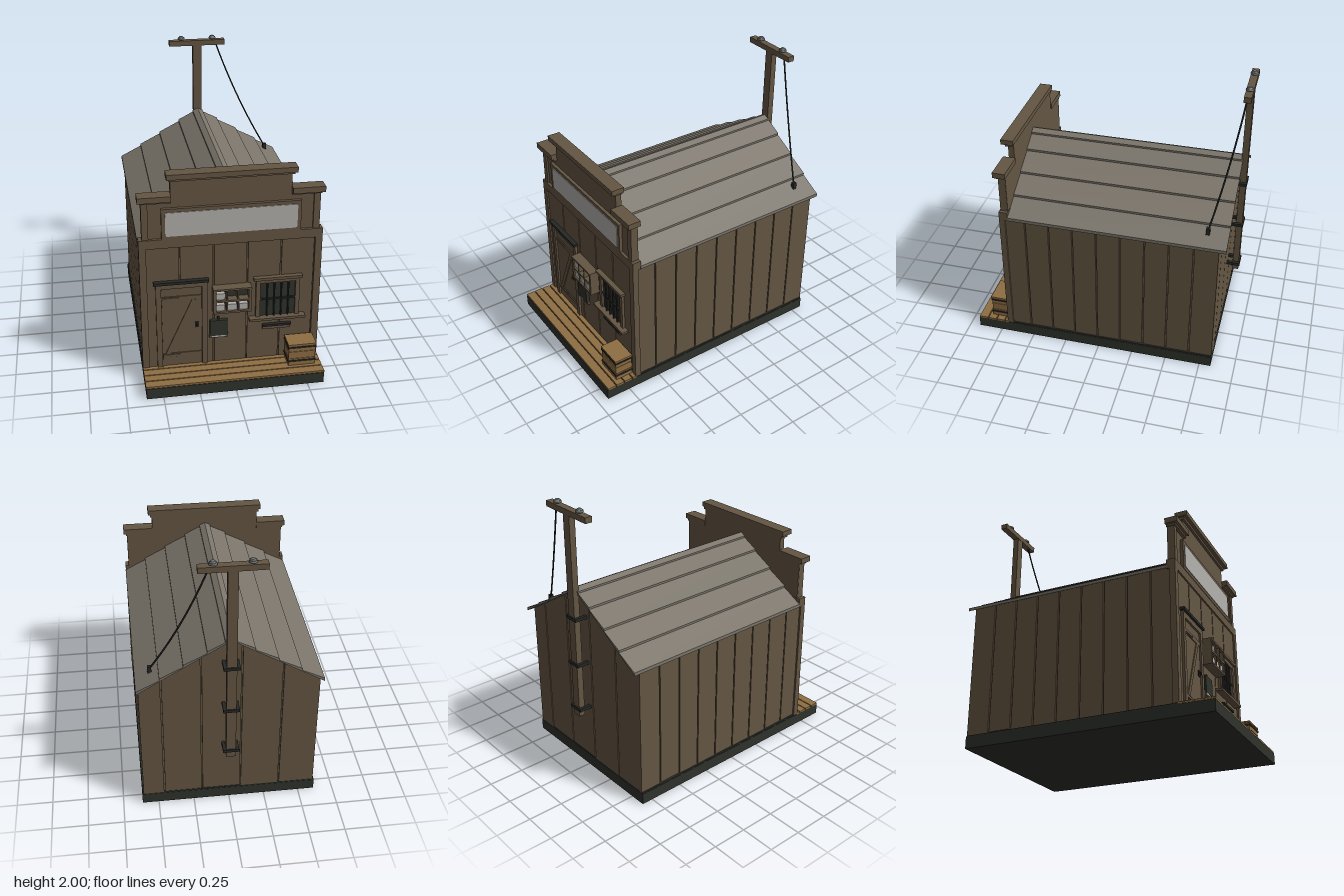
import * as THREE from 'three';

const mat = (name, color, side = THREE.FrontSide) => {
  const m = new THREE.MeshStandardMaterial({ color, side });
  m.name = name;
  return m;
};

export function createModel() {
  const wood = mat('weathered wood', 0x655643);
  const tan = mat('fresh wood', 0x8f6e43);
  const roofGrey = mat('roof grey', 0x7a746a);
  const dark = mat('dark stone', 0x2f322c);
  const iron = mat('iron', 0x262826);
  const pale = mat('pale board', 0xb4b2ad);
  const glass = mat('insulator glass', 0x6f7472);

  const root = new THREE.Group();
  root.name = 'frontierOffice';
  const group = (name) => {
    const g = new THREE.Group();
    g.name = name;
    root.add(g);
    return g;
  };
  const add = (parent, name, geo, m) => {
    const mesh = new THREE.Mesh(geo, m);
    mesh.name = name;
    parent.add(mesh);
    return mesh;
  };
  // Box given by its min and max on each axis
  const box = (parent, name, m, x0, x1, y0, y1, z0, z1) => {
    const mesh = add(parent, name, new THREE.BoxGeometry(x1 - x0, y1 - y0, z1 - z0), m);
    mesh.position.set((x0 + x1) / 2, (y0 + y1) / 2, (z0 + z1) / 2);
    return mesh;
  };
  // Polygon in the xy plane extruded from z0 to z1
  const slab = (parent, name, m, points, z0, z1) => {
    const shape = new THREE.Shape(points.map(([x, y]) => new THREE.Vector2(x, y)));
    const geo = new THREE.ExtrudeGeometry(shape, { depth: z1 - z0, bevelEnabled: false });
    const mesh = add(parent, name, geo, m);
    mesh.position.z = z0;
    return mesh;
  };
  let seed = 7;
  const rand = () => (seed = (seed * 16807) % 2147483647) / 2147483647;
  const ragged = () => 0.083 + rand() * 0.014;
  const slope = (x) => 1.4 - 0.61 * Math.abs(x);

  // Foundation and porch
  const base = group('base');
  box(base, 'foundation', dark, -0.615, 0.615, 0, 0.08, -0.832, 0.925);
  box(base, 'foundationTop', dark, -0.613, 0.613, 0.08, 0.09, -0.83, 0.69);
  const porchEdges = [0.69, 0.728, 0.793, 0.859, 0.929];
  for (let i = 0; i < 4; i++)
    box(base, 'porchPlank', tan, -0.618, 0.618, 0.08, 0.094, porchEdges[i], porchEdges[i + 1] - 0.008);

  // Inner shell with vertical planks and narrow grooves
  const walls = group('walls');
  slab(walls, 'wallCore', wood, [[-0.593, 0.085], [0.593, 0.085], [0.593, slope(0.593)], [0, 1.4], [-0.593, slope(0.593)]], -0.82, 0.675);
  const sidePlanks = 9, sideStep = 1.52 / sidePlanks;
  for (const s of [-1, 1])
    for (let i = 0; i < sidePlanks; i++) {
      const z = -0.83 + i * sideStep, xa = s * 0.59, xb = s * 0.605;
      box(walls, 'sidePlank', wood, Math.min(xa, xb), Math.max(xa, xb), ragged(), 1.03, z, z + sideStep - 0.009);
    }
  const backEdges = [-0.605, -0.35, -0.075, 0.195, 0.46, 0.614];
  for (let i = 0; i < 5; i++) {
    const a = backEdges[i], b = backEdges[i + 1] - 0.009, y = ragged();
    const top = a < 0 && b > 0 ? [[b, slope(b)], [0, 1.4], [a, slope(a)]] : [[b, slope(b)], [a, slope(a)]];
    slab(walls, 'backPlank', wood, [[a, y], [b, y], ...top], -0.832, -0.815);
  }
  for (let i = 0; i < 5; i++) {
    const x = -0.575 + i * 0.23;
    box(walls, 'frontPlank', wood, x, x + 0.221, 0.09, 1.03, 0.67, 0.686);
  }

  // Lapped roof boards: each lower edge stands proud of the next board
  const roof = group('roof');
  const roofX = [0, 0.155, 0.31, 0.465, 0.62];
  for (const s of [-1, 1])
    for (let i = 0; i < 4; i++) {
      const a = roofX[i], b = roofX[i + 1];
      const pts = [[a, slope(a)], [b, slope(b)], [b, slope(b) + 0.024], [a, slope(a) + 0.009]];
      slab(roof, 'roofBoard', roofGrey, pts.map(([x, y]) => [s * x, y]), -0.882, 0.638);
    }
  const capY = slope(0.04);
  slab(roof, 'ridgeCap', roofGrey, [[-0.04, capY], [0.04, capY], [0.04, capY + 0.026], [0, 1.421], [-0.04, capY + 0.026]], -0.884, 0.638);

  // False front
  const facade = group('falseFront');
  for (const s of [-1, 1]) {
    const mirror = (name, xa, xb, ...r) => box(facade, name, wood, Math.min(s * xa, s * xb), Math.max(s * xa, s * xb), ...r);
    mirror('cornerBoard', 0.57, 0.618, 0.09, 1.02, 0.655, 0.697);
    mirror('pilaster', 0.55, 0.594, 1.08, 1.345, 0.64, 0.69);
    mirror('sideMoulding', 0.4, 0.6, 1.345, 1.366, 0.634, 0.7);
    mirror('sideCap', 0.4, 0.618, 1.36, 1.4, 0.63, 0.72);
  }
  box(facade, 'topRail', wood, -0.618, 0.618, 1.02, 1.085, 0.635, 0.697);
  box(facade, 'parapet', wood, -0.592, 0.592, 1.08, 1.35, 0.637, 0.678);
  box(facade, 'tower', wood, -0.4, 0.4, 1.34, 1.5, 0.637, 0.678);
  box(facade, 'towerMoulding', wood, -0.413, 0.413, 1.492, 1.516, 0.634, 0.695);
  box(facade, 'towerCap', wood, -0.428, 0.428, 1.512, 1.548, 0.63, 0.72);
  box(facade, 'signFrame', wood, -0.465, 0.465, 1.083, 1.303, 0.67, 0.7);
  // Blank sign with rounded corners
  const sign = new THREE.Shape();
  const sx = 0.44, y0 = 1.107, y1 = 1.278, r = 0.018;
  sign.moveTo(-sx + r, y0).lineTo(sx - r, y0).quadraticCurveTo(sx, y0, sx, y0 + r).lineTo(sx, y1 - r)
    .quadraticCurveTo(sx, y1, sx - r, y1).lineTo(-sx + r, y1).quadraticCurveTo(-sx, y1, -sx, y1 - r)
    .lineTo(-sx, y0 + r).quadraticCurveTo(-sx, y0, -sx + r, y0);
  add(facade, 'signPanel', new THREE.ExtrudeGeometry(sign, { depth: 0.006, bevelEnabled: false }), pale).position.z = 0.698;

  // Door with Z brace
  const door = group('door');
  box(door, 'doorLeaf', wood, -0.475, -0.205, 0.097, 0.71, 0.68, 0.692);
  box(door, 'doorJamb', wood, -0.515, -0.478, 0.094, 0.75, 0.68, 0.704);
  box(door, 'doorJamb', wood, -0.202, -0.165, 0.094, 0.75, 0.68, 0.704);
  box(door, 'doorHead', wood, -0.478, -0.202, 0.713, 0.75, 0.68, 0.704);
  box(door, 'doorLintel', iron, -0.53, -0.155, 0.75, 0.77, 0.68, 0.718);
  for (const y of [0.18, 0.632]) {
    box(door, 'doorBatten', wood, -0.475, -0.207, y - 0.016, y + 0.016, 0.69, 0.698);
    box(door, 'hingeStrap', wood, -0.475, -0.35, y - 0.009, y + 0.009, 0.696, 0.703);
  }
  slab(door, 'doorBrace', wood, [[-0.455, 0.197], [-0.42, 0.197], [-0.235, 0.615], [-0.27, 0.615]], 0.69, 0.698);
  box(door, 'latchPlate', iron, -0.25, -0.224, 0.393, 0.433, 0.69, 0.7);
  box(door, 'latchKnob', iron, -0.243, -0.231, 0.405, 0.421, 0.7, 0.712);

  // Pigeonhole cabinet: back, shelves and dividers
  const cab = group('pigeonholes');
  box(cab, 'cabinetBack', dark, -0.125, 0.125, 0.525, 0.7, 0.68, 0.7);
  for (const y of [0.518, 0.605, 0.692]) box(cab, 'shelf', wood, -0.132, 0.132, y, y + 0.014, 0.68, 0.755);
  for (const x of [-0.132, -0.041, 0.033, 0.112])
    box(cab, 'divider', wood, x, x + (Math.abs(x) > 0.1 ? 0.02 : 0.008), 0.518, 0.706, 0.68, 0.753);
  for (const [x, y] of [[-0.08, 0.535], [0, 0.535], [0.077, 0.535], [-0.08, 0.622]])
    box(cab, 'papers', pale, x - 0.03, x + 0.03, y, y + 0.046, 0.7, 0.744);

  // Notice clipboard
  const notice = group('noticeBox');
  box(notice, 'noticeBacking', wood, -0.152, -0.022, 0.297, 0.325, 0.68, 0.703);
  box(notice, 'noticePanel', dark, -0.148, -0.026, 0.316, 0.438, 0.68, 0.71);
  box(notice, 'noticePaper', pale, -0.135, -0.04, 0.304, 0.316, 0.7, 0.708);
  box(notice, 'noticeHook', iron, -0.095, -0.081, 0.438, 0.46, 0.68, 0.698);

  // Barred window and letter slot
  const win = group('window');
  box(win, 'windowPane', dark, 0.2, 0.445, 0.435, 0.7, 0.68, 0.69);
  for (const x of [0.17, 0.445]) box(win, 'windowJamb', wood, x, x + 0.03, 0.435, 0.727, 0.68, 0.705);
  box(win, 'windowHead', wood, 0.2, 0.445, 0.7, 0.727, 0.68, 0.705);
  box(win, 'windowLintel', wood, 0.152, 0.488, 0.727, 0.747, 0.68, 0.72);
  box(win, 'windowSill', wood, 0.123, 0.515, 0.418, 0.436, 0.68, 0.735);
  for (let i = 0; i < 4; i++) {
    const bar = add(win, 'windowBar', new THREE.CylinderGeometry(0.006, 0.006, 0.265, 8), iron);
    bar.position.set(0.249 + i * 0.049, 0.5675, 0.699);
  }
  box(win, 'crossBar', iron, 0.2, 0.445, 0.565, 0.576, 0.692, 0.702);
  box(win, 'slotPlate', wood, 0.223, 0.418, 0.325, 0.36, 0.68, 0.696);
  box(win, 'slotHood', iron, 0.22, 0.421, 0.352, 0.368, 0.68, 0.71);

  // Crate on the porch
  const crate = group('crate');
  for (let i = 0; i < 3; i++)
    box(crate, 'crateSlat', tan, 0.384, 0.573, 0.094 + i * 0.056, 0.147 + i * 0.056, 0.7, 0.828);
  box(crate, 'crateCore', tan, 0.389, 0.568, 0.094, 0.25, 0.703, 0.823);
  box(crate, 'crateLid', tan, 0.38, 0.577, 0.254, 0.265, 0.698, 0.833);
  for (const y of [0.13, 0.239]) box(crate, 'crateStrap', iron, 0.379, 0.578, y - 0.006, y + 0.006, 0.697, 0.833);

  // Pole with brackets, crossarm and insulators
  const pole = group('utilityPole');
  box(pole, 'poleShaft', wood, -0.033, 0.033, 0.453, 1.94, -0.917, -0.873);
  box(pole, 'crossarm', wood, -0.215, 0.215, 1.93, 1.97, -0.92, -0.87);
  for (const y of [0.51, 0.86, 1.205]) {
    box(pole, 'bracketBand', iron, -0.055, 0.055, y - 0.011, y + 0.011, -0.925, -0.915);
    for (const x of [-0.055, 0.033]) box(pole, 'bracketArm', iron, x, x + 0.022, y - 0.011, y + 0.011, -0.918, -0.828);
  }
  for (const x of [-0.12, 0.12]) {
    add(pole, 'insulatorPin', new THREE.CylinderGeometry(0.012, 0.012, 0.012, 10), iron).position.set(x, 1.975, -0.895);
    add(pole, 'insulatorSkirt', new THREE.CylinderGeometry(0.024, 0.028, 0.012, 12), glass).position.set(x, 1.985, -0.895);
    add(pole, 'insulatorCap', new THREE.CylinderGeometry(0.014, 0.02, 0.009, 12), glass).position.set(x, 1.9955, -0.895);
  }

  // Sagging wire to the roof
  const v = (x, y, z) => new THREE.Vector3(x, y, z);
  const path = new THREE.QuadraticBezierCurve3(v(0.145, 1.945, -0.89), v(0.3, 1.5, -0.835), v(0.52, 1.12, -0.74));
  add(pole, 'wire', new THREE.TubeGeometry(path, 20, 0.006, 6), iron);
  box(pole, 'wireAnchor', iron, 0.507, 0.533, 1.085, 1.14, -0.753, -0.727);

  return root;
}
